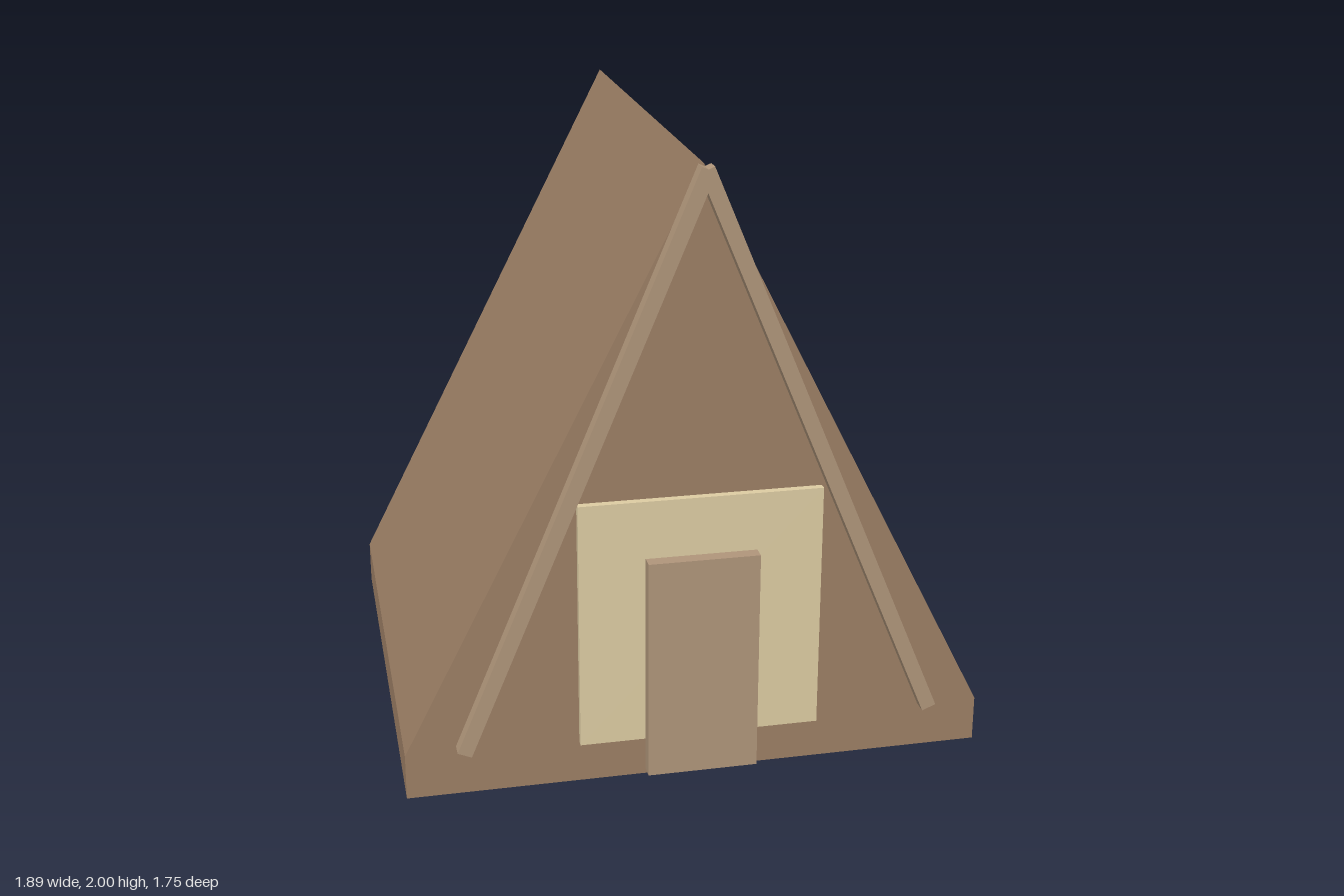
import * as THREE from 'three';

const mat = (color) => new THREE.MeshStandardMaterial({ color });

export function createModel() {
  const hut = new THREE.Group();
  hut.name = 'aFrameHut';

  const wood = mat(0x9b7e64);
  const trim = mat(0xaf957a);
  const plaster = mat(0xdccba2);

  const box = (name, size, pos, material) => {
    const mesh = new THREE.Mesh(new THREE.BoxGeometry(...size), material);
    mesh.name = name;
    mesh.position.set(...pos);
    hut.add(mesh);
    return mesh;
  };

  // Solid gabled body: low side walls under a steep roof
  const gable = new THREE.Shape([
    [-0.945, 0], [0.945, 0], [0.945, 0.15], [0, 2], [-0.945, 0.15],
  ].map(([x, y]) => new THREE.Vector2(x, y)));
  const back = -0.876, front = 0.807;
  const body = new THREE.Mesh(
    new THREE.ExtrudeGeometry(gable, { depth: front - back, bevelEnabled: false }), wood);
  body.name = 'body';
  body.position.z = back;
  hut.add(body);

  // Pale entrance panel and the door in front of it
  box('entrancePanel', [0.78, 0.82, 0.05], [0, 0.55, 0.807], plaster);
  box('door', [0.357, 0.738, 0.048], [0, 0.4, 0.853], trim);

  // Slanted gable beams, crossing at the ridge
  for (const side of [-1, 1]) {
    const beam = box(side > 0 ? 'leftBeam' : 'rightBeam',
      [0.048, 1.98, 0.048], [side * 0.38, 1.079, 0.842], trim);
    beam.rotation.z = side * 0.397;
  }
  return hut;
}
